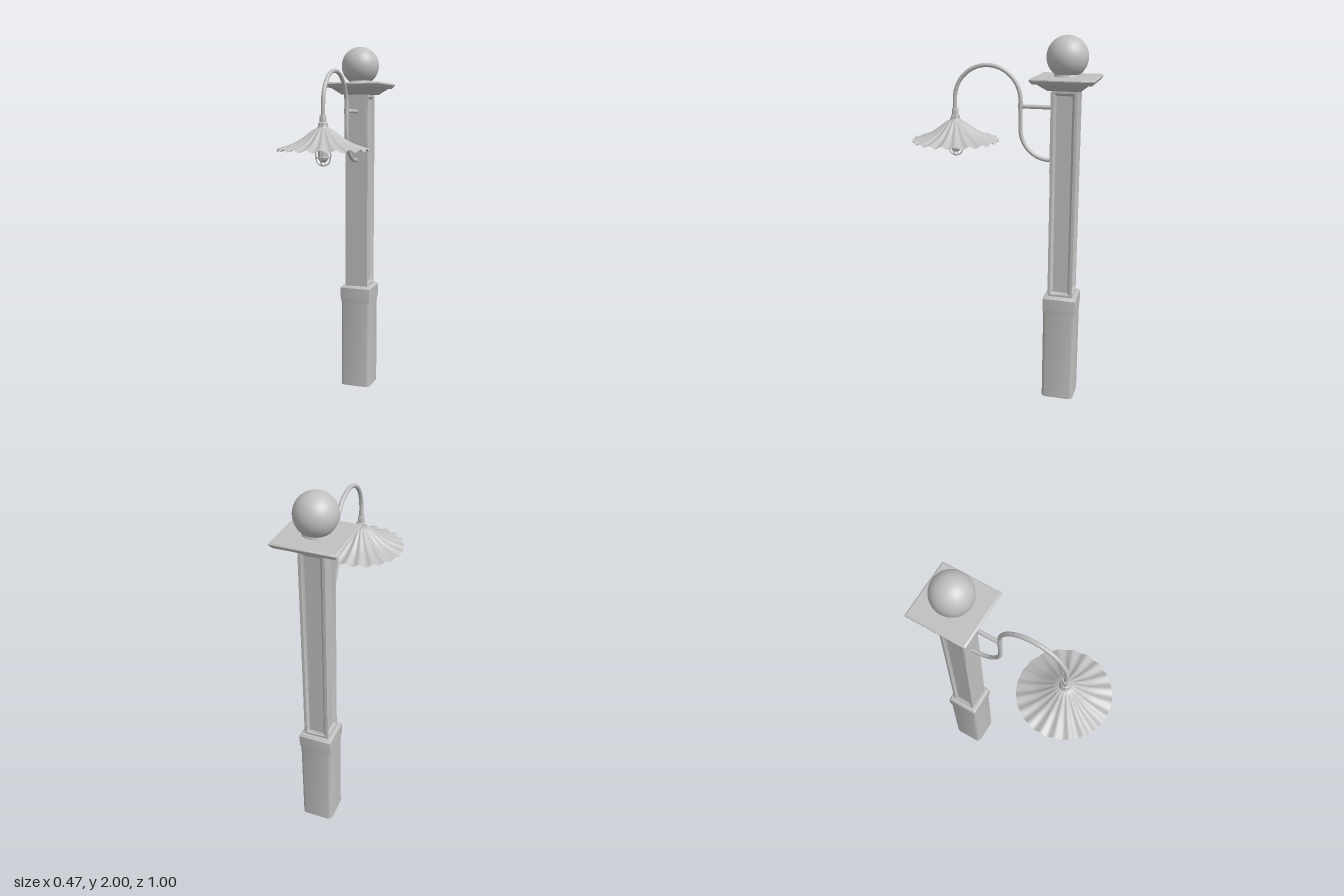
import * as THREE from 'three';
import { toCreasedNormals } from 'three/addons/utils/BufferGeometryUtils.js';

const POST_Z = -0.336, LAMP_Z = 0.266;

// Outline of a rectangle with rounded corners, counter-clockwise, at height w
function roundedRing(hx, hy, r, w) {
  const pts = [], n = 6;
  for (let c = 0; c < 4; c++) {
    const sx = c === 0 || c === 3 ? 1 : -1, sy = c < 2 ? 1 : -1;
    for (let i = 0; i <= n; i++) {
      const a = (c + i / n) * Math.PI / 2;
      pts.push([sx * (hx - r) + r * Math.cos(a), sy * (hy - r) + r * Math.sin(a), w]);
    }
  }
  return pts;
}

// Skin through sections [halfX, halfY, cornerRadius, w] along local z
function loft(sections, cap = true) {
  const rings = sections.map(s => roundedRing(...s));
  const n = rings[0].length, pos = [];
  for (let k = 0; k + 1 < rings.length; k++) {
    for (let j = 0; j < n; j++) {
      const a = rings[k][j], b = rings[k][(j + 1) % n];
      const c = rings[k + 1][(j + 1) % n], d = rings[k + 1][j];
      pos.push(...a, ...b, ...c, ...a, ...c, ...d);
    }
  }
  if (cap) {
    const top = rings[rings.length - 1], mid = [0, 0, top[0][2]];
    for (let j = 0; j < n; j++) pos.push(...mid, ...top[j], ...top[(j + 1) % n]);
  }
  const g = new THREE.BufferGeometry();
  g.setAttribute('position', new THREE.Float32BufferAttribute(pos, 3));
  return toCreasedNormals(g, 0.45);
}

const lathe = (profile, segs = 32) =>
  toCreasedNormals(new THREE.LatheGeometry(profile.map(p => new THREE.Vector2(...p)), segs), 0.6);

export function createModel() {
  const model = new THREE.Group();
  model.name = 'lampPost';
  const metal = new THREE.MeshStandardMaterial({ color: 0xc0c0c0, side: THREE.DoubleSide });
  metal.name = 'plain grey';

  const post = new THREE.Group();
  post.name = 'post';
  post.position.z = POST_Z;
  const lamp = new THREE.Group();
  lamp.name = 'lamp';
  lamp.position.z = LAMP_Z;
  model.add(post, lamp);

  const add = (parent, name, geometry, x = 0, y = 0, z = 0) => {
    const m = new THREE.Mesh(geometry, metal);
    m.name = name;
    m.position.set(x, y, z);
    parent.add(m);
    return m;
  };
  const E = 0.0008; // practically sharp corner

  // Base: rounded corners running out into a square head
  add(post, 'base', loft([
    [0.089, 0.089, 0.026, 0], [0.089, 0.089, 0.026, 0.505], [0.089, 0.089, 0.014, 0.525],
    [0.089, 0.089, E, 0.54], [0.089, 0.089, E, 0.6], [0.079, 0.079, E, 0.612],
  ]).rotateX(-Math.PI / 2));

  // Shaft: recessed panels on the back and sides, plain front
  const panel = loft([
    [0.067, 0.56, E, 0.067], [0.053, 0.546, E, 0.067], [0.05, 0.543, E, 0.062],
    [0.04, 0.533, E, 0.055],
  ]);
  ['left', 'back', 'right'].forEach((side, i) => {
    add(post, side + 'Panel', panel, 0, 1.17, 0).rotation.y = (i + 1) * Math.PI / 2;
  });
  add(post, 'frontFace', new THREE.PlaneGeometry(0.134, 1.12), 0, 1.17, 0.067);
  add(post, 'mountingPlate', new THREE.BoxGeometry(0.124, 0.42, 0.006), 0, 1.51, 0.068);

  // Cap with a flared underside
  add(post, 'cap', loft([
    [0.06, 0.06, E, 1.728], [0.085, 0.085, E, 1.73], [0.13, 0.13, E, 1.765],
    [0.15, 0.15, E, 1.768], [0.163, 0.163, E, 1.785], [0.163, 0.163, E, 1.79],
    [0.155, 0.155, E, 1.797],
  ]).rotateX(-Math.PI / 2));

  // Globe on its collar
  add(post, 'globeCollar', new THREE.CylinderGeometry(0.062, 0.07, 0.024, 32), 0, 1.805, 0);
  add(post, 'globe', new THREE.SphereGeometry(0.107, 48, 32), 0, 1.893, 0);

  // Arm: arch over the lamp, then a bend back into the post
  const armPoints = [[LAMP_Z, 1.59], [LAMP_Z, 1.63]];
  const R = 0.18, archZ = LAMP_Z - R, innerZ = archZ - R;
  for (let i = 0; i <= 12; i++) {
    const a = i / 12 * Math.PI;
    armPoints.push([archZ + R * Math.cos(a), 1.662 + R * Math.sin(a)]);
  }
  armPoints.push([innerZ, 1.6]);
  for (let i = 0; i <= 6; i++) {
    const a = i / 6 * Math.PI / 2;
    armPoints.push([innerZ - 0.16 + 0.16 * Math.cos(a), 1.517 - 0.16 * Math.sin(a)]);
  }
  armPoints.push([-0.275, 1.357]);
  const armCurve = new THREE.CatmullRomCurve3(armPoints.map(([z, y]) => new THREE.Vector3(0, y, z)));
  add(model, 'arm', new THREE.TubeGeometry(armCurve, 120, 0.011, 16));
  const strut = new THREE.CylinderGeometry(0.011, 0.011, 0.175, 16).rotateX(Math.PI / 2);
  add(model, 'strut', strut, 0, 1.635, -0.182);
  add(model, 'strutJoint', new THREE.CylinderGeometry(0.013, 0.013, 0.03, 16), 0, 1.635, innerZ);

  // Stepped socket above the shade
  add(lamp, 'socket', lathe([
    [0, 1.612], [0.016, 1.612], [0.018, 1.605], [0.018, 1.578], [0.024, 1.574],
    [0.025, 1.556], [0.031, 1.548], [0.033, 1.535],
  ].reverse()));

  // Fluted shade
  const shadeCurve = new THREE.SplineCurve([
    [0.026, 1.55], [0.05, 1.538], [0.085, 1.51], [0.13, 1.478], [0.18, 1.455], [0.234, 1.438],
  ].map(p => new THREE.Vector2(...p)));
  const shade = new THREE.LatheGeometry(shadeCurve.getPoints(18), 160);
  const sp = shade.attributes.position;
  for (let i = 0; i < sp.count; i++) {
    const x = sp.getX(i), z = sp.getZ(i);
    const t = Math.max(0, (Math.hypot(x, z) - 0.04) / 0.195);
    sp.setY(i, sp.getY(i) + 0.007 * Math.sqrt(t) * Math.cos(20 * Math.atan2(x, z)));
  }
  shade.computeVertexNormals();
  add(lamp, 'shade', shade);

  // Bulb holder, bulb and wire cage
  add(lamp, 'bulbHolder', new THREE.CylinderGeometry(0.036, 0.036, 0.1, 32), 0, 1.49, 0);
  add(lamp, 'bulb', new THREE.CapsuleGeometry(0.026, 0.05, 10, 24), 0, 1.425, 0);
  const cageCurve = new THREE.CatmullRomCurve3([
    [-0.039, 1.45], [-0.039, 1.395], [-0.028, 1.368], [0, 1.357],
    [0.028, 1.368], [0.039, 1.395], [0.039, 1.45],
  ].map(([x, y]) => new THREE.Vector3(x, y, 0)));
  const wire = new THREE.TubeGeometry(cageCurve, 40, 0.0035, 8);
  for (let i = 0; i < 2; i++) add(lamp, 'cageWire', wire).rotation.y = i * Math.PI / 2;
  const ring = new THREE.TorusGeometry(0.039, 0.0035, 8, 40).rotateX(Math.PI / 2);
  add(lamp, 'cageRing', ring, 0, 1.4, 0);
  add(lamp, 'cageRing', ring, 0, 1.442, 0);

  return model;
}
